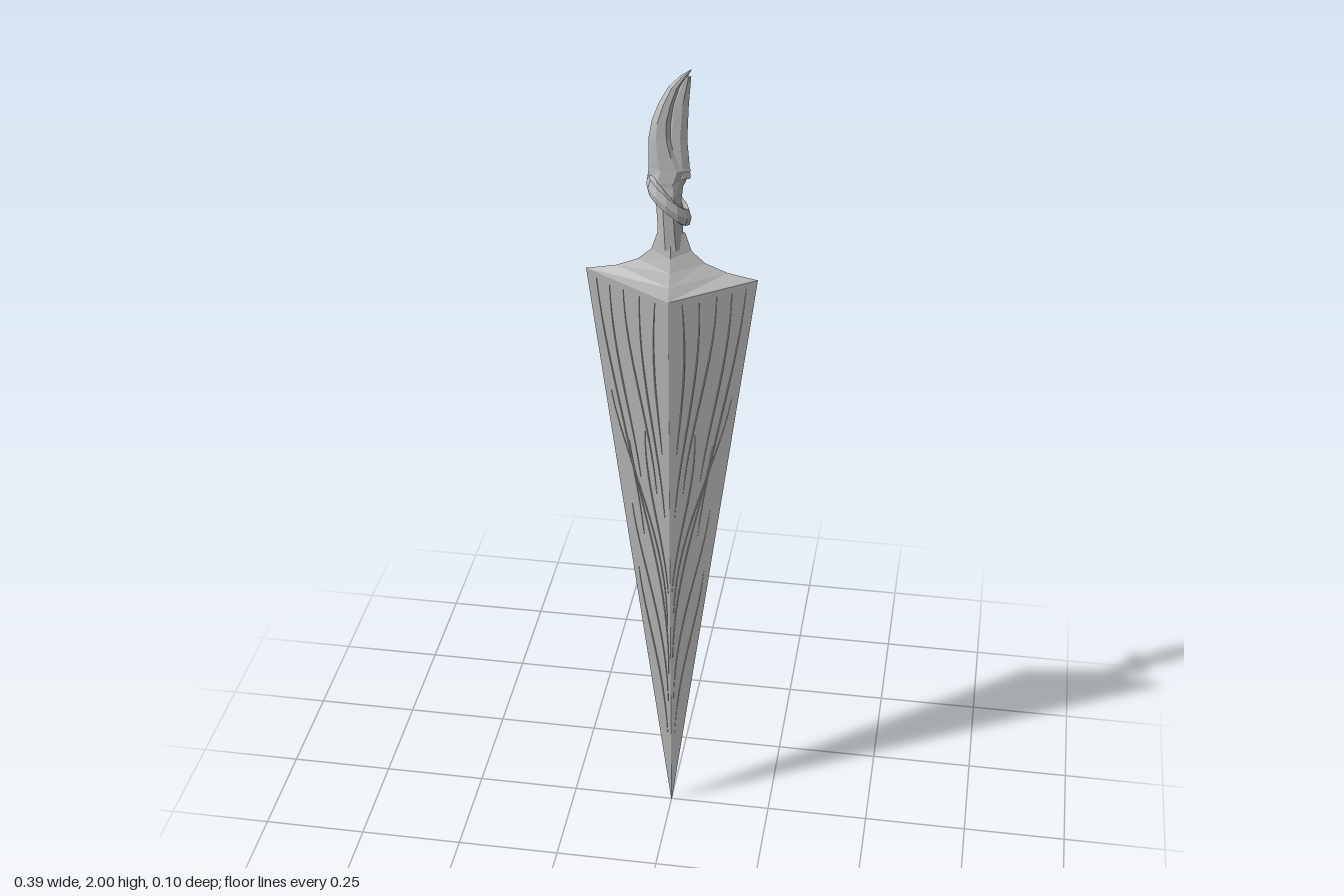
import * as THREE from 'three';

const steel = new THREE.MeshStandardMaterial({ color: 0xc0c0c0 });
steel.name = 'pale grey';

// Skin rings of points (counter-clockwise from above, lowest ring first).
function loft(rings, closed = false) {
  const pos = [];
  const tri = (...pts) => pts.forEach((p) => pos.push(...p));
  const n = rings[0].length;
  const last = closed ? rings.length : rings.length - 1;
  for (let i = 0; i < last; i++) {
    const a = rings[i], b = rings[(i + 1) % rings.length];
    for (let j = 0; j < n; j++) {
      const k = (j + 1) % n;
      tri(a[j], a[k], b[k]);
      tri(a[j], b[k], b[j]);
    }
  }
  if (!closed) {
    const a = rings[0], b = rings[rings.length - 1];
    for (let j = 1; j < n - 1; j++) {
      tri(a[0], a[j + 1], a[j]);
      tri(b[0], b[j], b[j + 1]);
    }
  }
  const g = new THREE.BufferGeometry();
  g.setAttribute('position', new THREE.Float32BufferAttribute(pos, 3));
  g.computeVertexNormals();
  return g;
}

function part(parent, name, geometry) {
  const mesh = new THREE.Mesh(geometry, steel);
  mesh.name = name;
  parent.add(mesh);
}

// Diamond ring whose side corners and front/back corners sit at separate heights.
const diamond = ([w, yw, d, yd]) => [[w, yw, 0], [0, yd, -d], [-w, yw, 0], [0, yd, d]];

// Flattened six-sided ring between a left and a right edge.
function flatRing([y, xl, xr, d]) {
  const m = (xr - xl) * 0.3;
  return [[xr, y, 0], [xr - m, y, -d], [xl + m, y, -d], [xl, y, 0], [xl + m, y, d], [xr - m, y, d]];
}

// Raised grain line on one blade face: u runs ridge to edge, s runs tip to shoulder.
function grain([s0, u0, s1, u1, bend], sx, sz) {
  const ridge = new THREE.Vector3(0, 1.47, 0.052 * sz);
  const edge = new THREE.Vector3(0.193 * sx, 1.515, 0);
  const normal = new THREE.Vector3().crossVectors(ridge, edge).normalize();
  if (normal.z * sz < 0) normal.negate();
  const rings = [];
  const steps = 14;
  for (let i = 0; i <= steps; i++) {
    const t = i / steps;
    const s = s0 + (s1 - s0) * t;
    const ease = t * t * (3 - 2 * t);
    const u = u0 + (u1 - u0) * ease + bend * Math.sin(Math.PI * t);
    const half = 0.0025 * Math.sin(Math.PI * (0.06 + 0.88 * t));
    const at = (du, lift) => {
      const v = Math.min(0.985, Math.max(0.015, u + du));
      return ridge.clone().lerp(edge, v).multiplyScalar(s).addScaledVector(normal, lift).toArray();
    };
    const du = half / (0.2 * s);
    const ring = [at(-du, -0.0005), at(0, 0.0014), at(du, -0.0005)];
    rings.push(sx * sz > 0 ? ring : ring.reverse());
  }
  return loft(rings);
}

export function createModel() {
  const model = new THREE.Group();
  model.name = 'dagger';

  // Long diamond-section blade, point down, with concave shoulders
  part(model, 'blade', loft([[0.001, 0, 0.001, 0], [0.193, 1.515, 0.052, 1.47]].map(diamond)));
  part(model, 'shoulder', loft([
    [0.193, 1.515, 0.052, 1.47],
    [0.125, 1.528, 0.04, 1.5],
    [0.075, 1.548, 0.027, 1.53],
    [0.045, 1.575, 0.017, 1.56],
    [0.03, 1.62, 0.013, 1.61],
  ].map(diamond)));

  // Flowing grain lines, mirrored onto all four faces
  const grainGroup = new THREE.Group();
  grainGroup.name = 'bladeGrain';
  model.add(grainGroup);
  const lines = [
    [0.15, 0.3, 0.48, 0.85, 0.05], [0.22, 0.15, 0.6, 0.8, 0],
    [0.28, 0.08, 0.72, 0.7, -0.05], [0.38, 0.1, 0.8, 0.9, -0.05],
    [0.45, 0.05, 0.75, 0.4, 0.08], [0.6, 0.1, 0.99, 0.35, 0.08],
    [0.64, 0.25, 0.99, 0.55, 0.05], [0.72, 0.12, 0.99, 0.16, 0.06],
    [0.66, 0.55, 0.99, 0.72, 0.06], [0.55, 0.6, 0.99, 0.88, 0.04],
  ];
  for (const sx of [1, -1]) {
    for (const sz of [1, -1]) {
      for (const line of lines) part(grainGroup, 'grainLine', grain(line, sx, sz));
    }
  }

  // Handle core below the flame
  part(model, 'handleCore', loft([
    [1.58, -0.03, 0.03, 0.014], [1.63, -0.031, 0.025, 0.016],
    [1.7, -0.035, 0.022, 0.018], [1.77, -0.046, 0.03, 0.013],
  ].map(flatRing)));

  // Crescent strand curling up to the point
  part(model, 'flameStrand', loft([
    [1.7, -0.045, 0.01, 0.014], [1.74, -0.054, 0.03, 0.016],
    [1.77, -0.05, 0.042, 0.014], [1.8, -0.05, 0.022, 0.013],
    [1.84, -0.05, 0.008, 0.012], [1.88, -0.043, 0.004, 0.012],
    [1.92, -0.028, 0.01, 0.011], [1.96, -0.006, 0.02, 0.009],
    [1.985, 0.018, 0.034, 0.006], [2, 0.04, 0.043, 0.002],
  ].map(flatRing)));

  // Thin straight web filling the hollow of the crescent
  part(model, 'flameWeb', loft([
    [1.75, -0.01, 0.042, 0.008], [1.84, -0.015, 0.034, 0.007],
    [1.92, -0.005, 0.037, 0.006], [1.985, 0.025, 0.042, 0.004],
  ].map(flatRing)));

  // Slanted band wrapped round the core, higher on the right-hand side
  const band = [];
  for (let i = 0; i < 12; i++) {
    const a = (i / 12) * Math.PI * 2;
    const c = Math.cos(a), s = Math.sin(a);
    const at = (grow, dy) => [
      -0.006 + (0.042 + grow) * c, 1.695 - 0.038 * c + dy, (0.029 + grow) * s,
    ];
    band.push([at(-0.008, -0.02), at(0.004, -0.018), at(0.008, 0), at(0.002, 0.02), at(-0.01, 0.022)].reverse());
  }
  part(model, 'wrapBand', loft(band.reverse(), true));

  return model;
}
